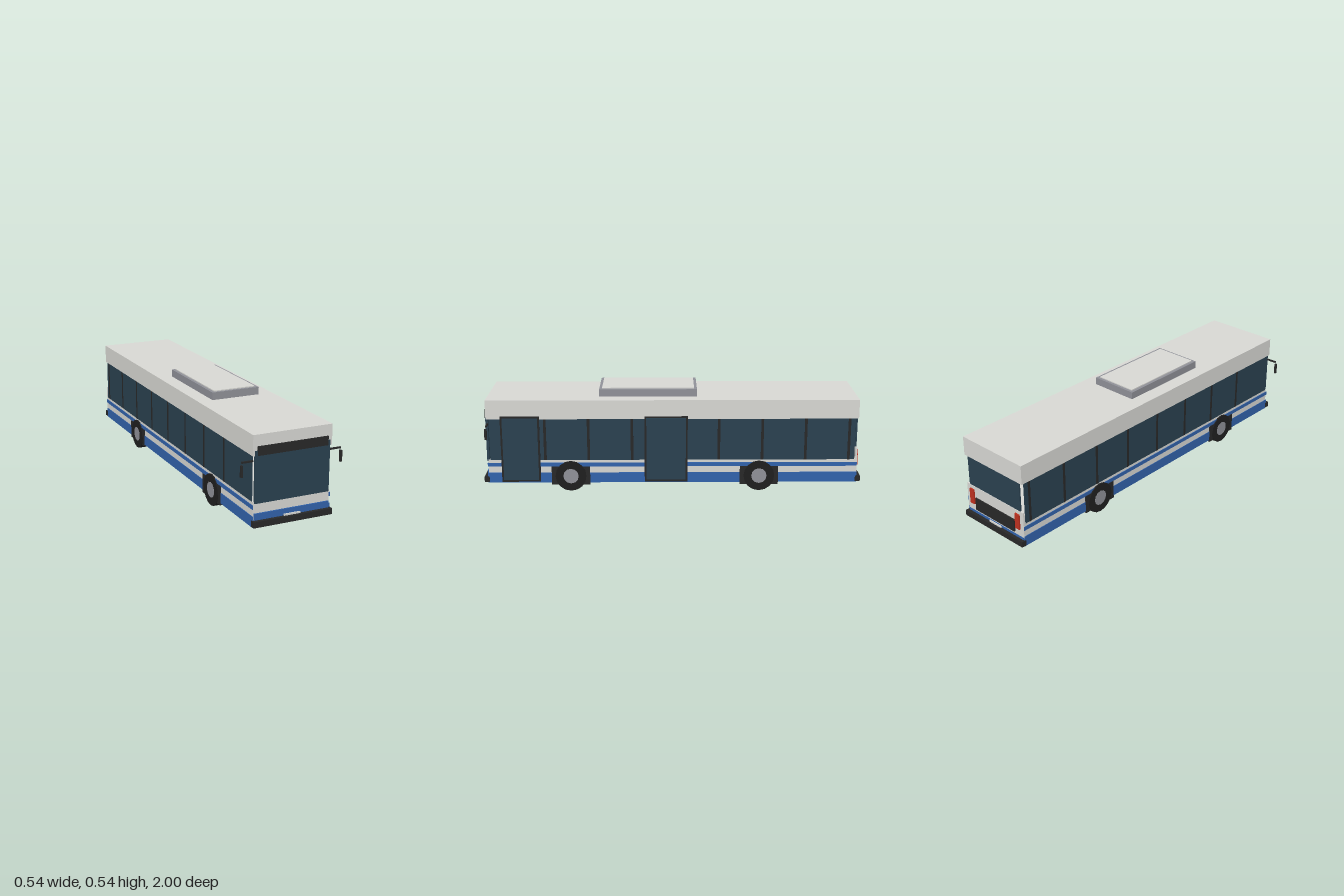
import * as THREE from 'three';

const mat = (name, color, side = THREE.FrontSide) => {
  const m = new THREE.MeshStandardMaterial({ color, side });
  m.name = name;
  return m;
};

export function createModel() {
  const white = mat('body white', 0xd8d8d4);
  const blue = mat('stripe blue', 0x3263ac);
  const glass = mat('window glass', 0x2a4150);
  const black = mat('trim black', 0x282828);
  const tyreBlack = mat('tyre black', 0x1f1f1f);
  const grey = mat('metal grey', 0x909198);
  const red = mat('lamp red', 0xc0301f);

  const bus = new THREE.Group();
  bus.name = 'bus';

  // Box given by its limits on each axis
  const box = (name, m, [x0, x1], [y0, y1], [z0, z1], parent = bus) => {
    const mesh = new THREE.Mesh(new THREE.BoxGeometry(x1 - x0, y1 - y0, z1 - z0), m);
    mesh.position.set((x0 + x1) / 2, (y0 + y1) / 2, (z0 + z1) / 2);
    mesh.name = name;
    parent.add(mesh);
    return mesh;
  };
  // Span from a to b, mirrored for the side s
  const span = (s, a, b) => (s > 0 ? [a, b] : [-b, -a]);

  // Main shell
  box('lowerBody', white, [-0.205, 0.205], [0.045, 0.17], [-0.975, 0.975]);
  box('roof', white, [-0.209, 0.209], [0.395, 0.497], [-0.98, 0.98]);

  // Roof unit
  box('roofUnit', grey, [-0.131, 0.131], [0.497, 0.536], [-0.13, 0.387]);
  box('roofUnitLid', white, [-0.115, 0.115], [0.536, 0.541], [-0.115, 0.372]);

  for (const s of [1, -1]) {
    const side = new THREE.Group();
    side.name = s > 0 ? 'leftSide' : 'rightSide';
    bus.add(side);

    // Stripes and window band
    box('lowerStripe', blue, span(s, 0.204, 0.208), [0.045, 0.1], [-0.98, 0.98], side);
    box('upperStripe', blue, span(s, 0.204, 0.208), [0.134, 0.155], [-0.98, 0.98], side);
    box('windowFrame', white, span(s, 0.199, 0.203), [0.17, 0.395], [-0.96, 0.96], side);
    box('sideGlass', glass, span(s, 0.202, 0.206), [0.17, 0.395], [-0.965, 0.965], side);
    for (let i = 0; i < 8; i++) {
      const z = 0.673 - i * 0.2295;
      box('windowPost', black, span(s, 0.203, 0.2075), [0.17, 0.395], [z - 0.007, z + 0.007], side);
    }

    // Wheels in their arches
    for (const z of [0.54, -0.46]) {
      box('wheelArch', black, span(s, 0.19, 0.2105), [0.034, 0.135], [z - 0.102, z + 0.102], side);
      const wheel = new THREE.Group();
      wheel.name = 'wheel';
      wheel.position.set(s * 0.19, 0.082, z);
      wheel.rotation.z = -s * Math.PI / 2;
      const tyreGeo = new THREE.CylinderGeometry(0.082, 0.082, 0.047, 16).toNonIndexed();
      tyreGeo.computeVertexNormals();
      const tyre = new THREE.Mesh(tyreGeo, tyreBlack);
      tyre.name = 'tyre';
      const hub = new THREE.Mesh(new THREE.CylinderGeometry(0.041, 0.041, 0.049, 12), grey);
      hub.name = 'hub';
      wheel.add(tyre, hub);
      side.add(wheel);
    }

    // Mirror on its arm
    box('mirrorArm', black, span(s, 0.204, 0.264), [0.366, 0.374], [0.967, 0.975], side);
    box('mirror', black, span(s, 0.259, 0.269), [0.3, 0.357], [0.967, 0.98], side);

    // Tail lamps
    box('tailLamp', red, span(s, 0.152, 0.182), [0.132, 0.216], [-0.988, -0.978], side);
  }

  // Doors on the left side
  for (const [z0, z1] of [[0.7, 0.906], [-0.08, 0.148]]) {
    box('doorFrame', black, [0.204, 0.2105], [0.05, 0.41], [z0, z1]);
    box('doorGlass', glass, [0.208, 0.2125], [0.06, 0.4], [z0 + 0.01, z1 - 0.01]);
  }

  // Front
  box('windscreen', glass, [-0.198, 0.198], [0.162, 0.42], [0.97, 0.983]);
  box('destinationSign', black, [-0.186, 0.186], [0.396, 0.441], [0.98, 0.987]);
  box('frontStripe', blue, [-0.2, 0.2], [0.043, 0.112], [0.974, 0.982]);
  box('frontPlate', white, [-0.043, 0.043], [0.07, 0.088], [0.98, 0.988]);

  // Rear
  box('rearPanel', white, [-0.207, 0.207], [0.09, 0.235], [-0.98, -0.97]);
  box('rearStripe', blue, [-0.2, 0.2], [0.043, 0.092], [-0.982, -0.974]);
  box('rearGlass', glass, [-0.186, 0.186], [0.235, 0.395], [-0.978, -0.97]);
  box('engineGrille', black, [-0.143, 0.143], [0.104, 0.173], [-0.987, -0.978]);
  box('rearPlate', white, [-0.043, 0.043], [0.07, 0.088], [-0.988, -0.98]);

  // Bumpers
  box('frontBumper', black, [-0.211, 0.211], [0.049, 0.079], [0.973, 1]);
  box('rearBumper', black, [-0.211, 0.211], [0.049, 0.079], [-1, -0.973]);

  return bus;
}
